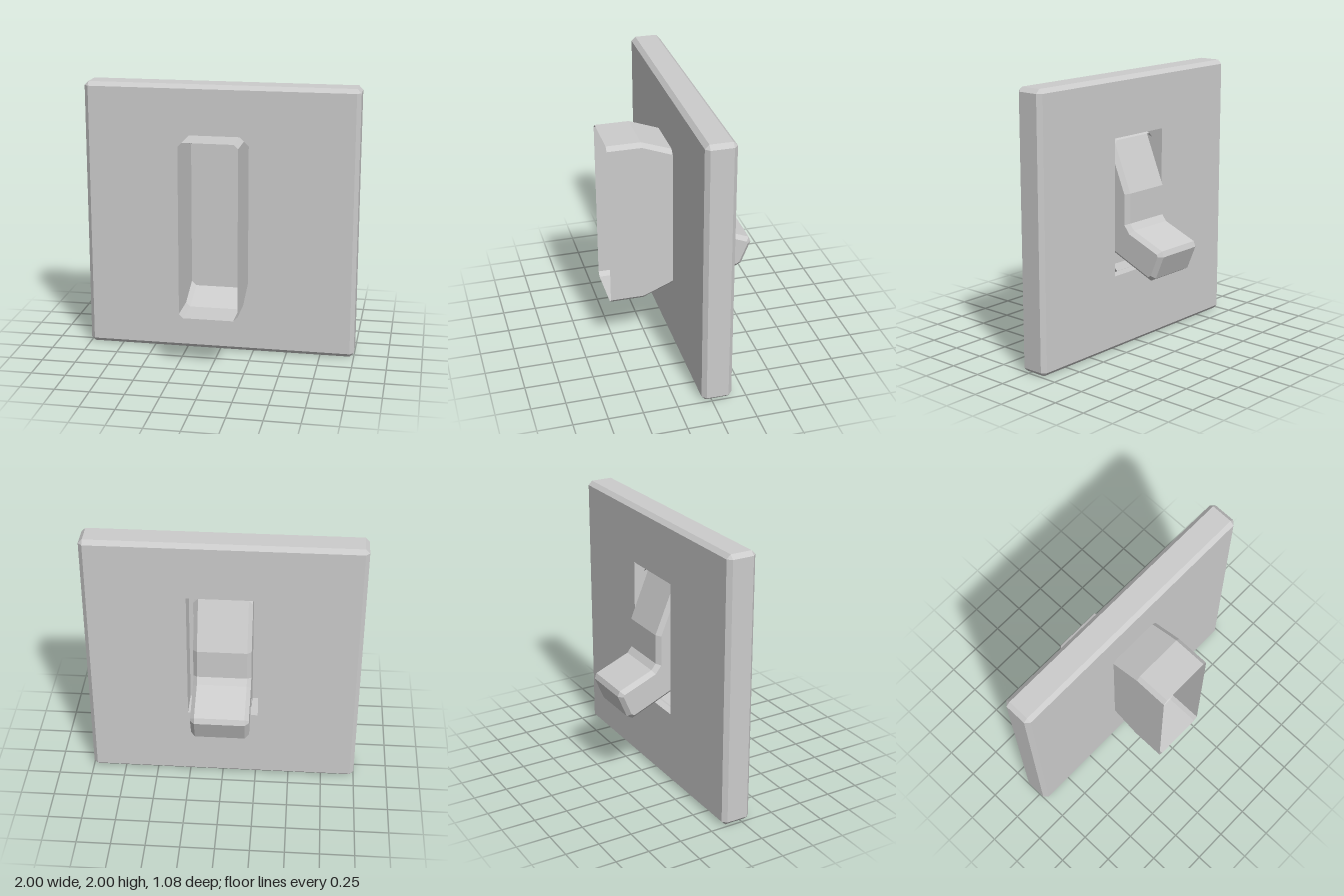
import * as THREE from 'three';

const grey = () => new THREE.MeshStandardMaterial({ color: 0xcccccc, flatShading: true, side: THREE.DoubleSide });

// Cross-section: rectangle with cut corners, counter-clockwise seen from +z.
function ring({ w, y0, y1, z, c = 0 }) {
  return [
    [w, y0 + c], [w, y1 - c], [w - c, y1], [c - w, y1],
    [-w, y1 - c], [-w, y0 + c], [c - w, y0], [w - c, y0],
  ].map(([x, y]) => [x, y, z]);
}

// Skin a series of cross-sections, listed from front to back.
function loft(sections) {
  const rings = sections.map(ring);
  const pos = [];
  for (let k = 0; k < rings.length - 1; k++) {
    const a = rings[k], b = rings[k + 1];
    for (let i = 0; i < 8; i++) {
      const j = (i + 1) % 8;
      pos.push(...a[i], ...b[i], ...b[j], ...a[i], ...b[j], ...a[j]);
    }
  }
  const geo = new THREE.BufferGeometry();
  geo.setAttribute('position', new THREE.Float32BufferAttribute(pos, 3));
  geo.computeVertexNormals();
  return geo;
}

function part(name, geo) {
  const mesh = new THREE.Mesh(geo, grey());
  mesh.name = name;
  return mesh;
}

export function createModel() {
  const group = new THREE.Group();
  group.name = 'wallSwitch';

  // Bevelled plate with a rectangular recess opening to the back
  group.add(part('coverPlate', loft([
    { w: 0, y0: 1, y1: 1, z: 0.07 },
    { w: 0.97, y0: 0.03, y1: 1.97, z: 0.07 },
    { w: 1, y0: 0, y1: 2, z: 0.04, c: 0.03 },
    { w: 1, y0: 0, y1: 2, z: -0.12, c: 0.03 },
    { w: 0.97, y0: 0.03, y1: 1.97, z: -0.15 },
    { w: 0.26, y0: 0.56, y1: 1.57, z: -0.15 },
    { w: 0.26, y0: 0.56, y1: 1.57, z: 0.06 },
    { w: 0, y0: 1.05, y1: 1.05, z: 0.06 },
  ])));

  // Thin open housing, tapering as it passes into the plate
  group.add(part('housing', loft([
    { w: 0.21, y0: 0.41, y1: 1.68, z: 0.54, c: 0.03 },
    { w: 0.21, y0: 0.41, y1: 1.68, z: 0.29, c: 0.03 },
    { w: 0.21, y0: 0.5, y1: 1.6, z: 0.07, c: 0.033 },
    { w: 0.21, y0: 0.57, y1: 1.54, z: -0.1, c: 0.033 },
  ])));

  // Toggle lever: side profile in (z, y), extruded across with bevelled sides
  const profile = [
    [0.05, 0.765], [0.05, 1.56], [-0.063, 1.56], [-0.225, 1.17], [-0.225, 0.95],
    [-0.26, 0.905], [-0.52, 0.8], [-0.535, 0.76], [-0.465, 0.59], [-0.42, 0.565],
  ];
  const shape = new THREE.Shape(profile.map(([z, y]) => new THREE.Vector2(z, y)));
  const lever = new THREE.ExtrudeGeometry(shape, {
    depth: 0.36, bevelThickness: 0.03, bevelSize: 0.03, bevelOffset: -0.03, bevelSegments: 1,
  });
  lever.translate(0, 0, -0.18).rotateY(-Math.PI / 2);
  group.add(part('toggleLever', lever));

  return group;
}
